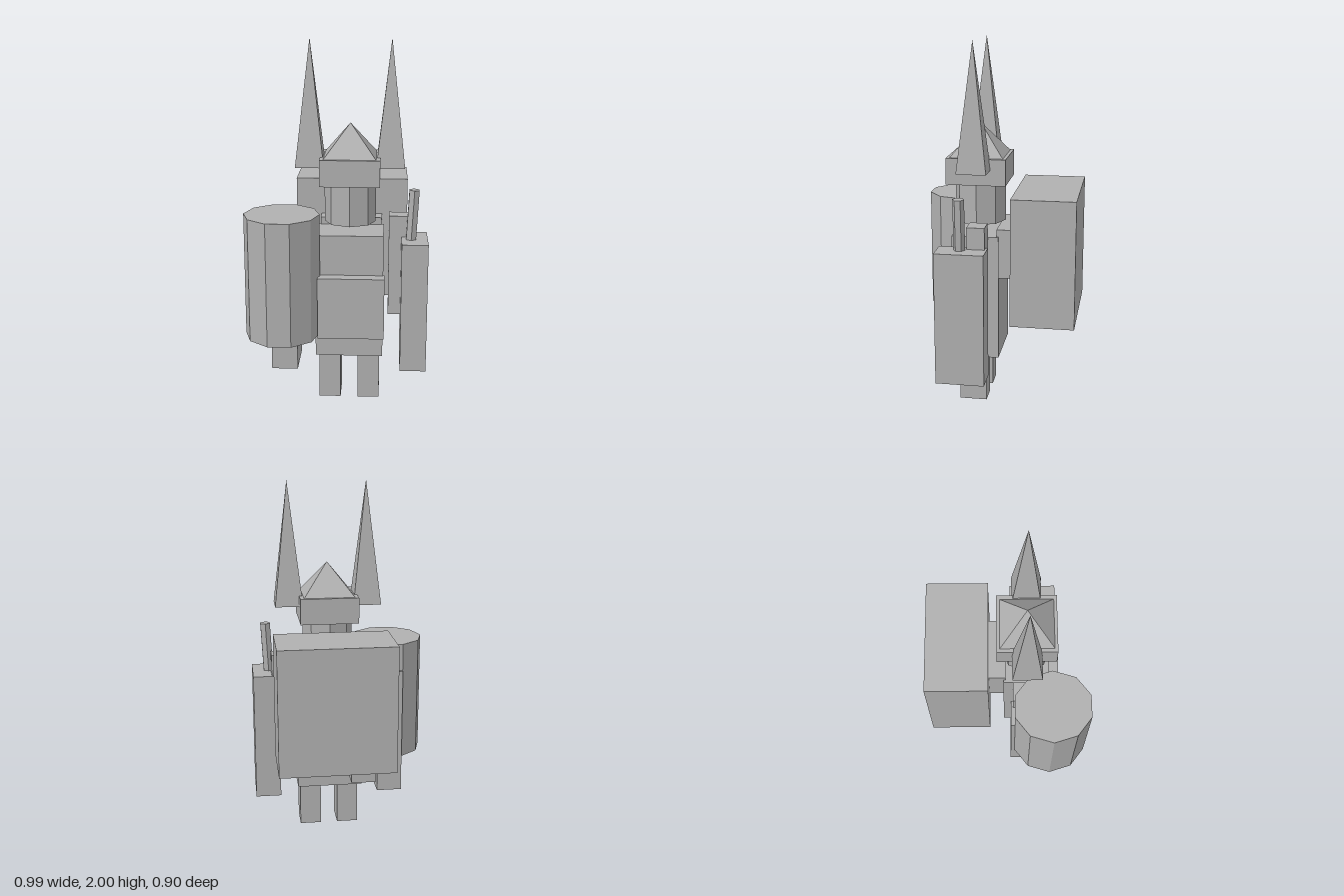
import * as THREE from 'three';

export function createModel() {
  const model = new THREE.Group();
  model.name = 'blockyWarrior';
  const grey = new THREE.MeshStandardMaterial({ color: 0xb0b0b0, flatShading: true });
  grey.name = 'plain grey';
  const midX = 0.07; // the body's mirror plane

  function add(name, geometry, x, y, z) {
    const mesh = new THREE.Mesh(geometry, grey);
    mesh.name = name;
    mesh.position.set(x, y, z);
    model.add(mesh);
    return mesh;
  }

  // Box given by its limits along each axis
  function box(name, [x0, x1], [y0, y1], [z0, z1]) {
    return add(name, new THREE.BoxGeometry(x1 - x0, y1 - y0, z1 - z0),
      (x0 + x1) / 2, (y0 + y1) / 2, (z0 + z1) / 2);
  }

  // Square pyramid standing on y0
  function pyramid(name, width, depth, y0, y1, x, z) {
    const g = new THREE.ConeGeometry(Math.SQRT1_2, y1 - y0, 4);
    g.rotateY(Math.PI / 4).scale(width, 1, depth);
    return add(name, g, x, (y0 + y1) / 2, z);
  }

  // Torso, belly plate and the mount for the pack
  box('torso', [-0.115, 0.255], [0.265, 0.957], [-0.03, 0.225]);
  box('bellyPlate', [-0.1, 0.262], [0.392, 0.735], [0.22, 0.293]);
  box('packMount', [-0.1, 0.243], [0.725, 0.997], [-0.115, -0.018]);

  // Backpack with a small outlet below
  box('backpack', [-0.243, 0.387], [0.505, 1.2], [-0.455, -0.112]);
  box('packOutlet', [-0.153, -0.02], [0.385, 0.51], [-0.285, -0.205]);

  // Limbs, mirrored about the body's middle
  for (const s of [1, -1]) {
    const side = s > 0 ? 'left' : 'right';
    const span = (a, b) => [midX + s * a, midX + s * b].sort((p, q) => p - q);
    box(side + 'Leg', span(0.048, 0.168), [0, 0.27], [0.04, 0.19]);
    box(side + 'Arm', span(0.213, 0.321), [0.475, 1.043], [0.022, 0.118]);
    box(side + 'Forearm', span(0.282, 0.425), [0.2, 0.925], [0.01, 0.273]);
    pyramid(side + 'Horn', 0.155, 0.16, 1.318, 2, midX + s * 0.217, 0.097);
  }

  // Head, helmet brim and peak
  add('head', new THREE.CylinderGeometry(0.14, 0.14, 0.225, 8), midX, 1.1225, 0.097);
  box('helmetBrim', [-0.09, 0.232], [1.233, 1.376], [-0.065, 0.258]);
  pyramid('helmetPeak', 0.282, 0.29, 1.375, 1.553, midX, 0.097);

  // Ten-sided drum on the right arm
  const drum = add('drum', new THREE.CylinderGeometry(0.205, 0.205, 0.68, 10, 1, false, Math.PI / 2),
    -0.294, 0.74, 0.241);
  drum.scale.z = 1.07;

  // Slightly leaning rod on the left forearm
  const rod = add('rod', new THREE.CylinderGeometry(0.031, 0.031, 0.34, 6), 0.409, 1.03, 0.153);
  rod.rotation.z = -0.05;

  return model;
}
